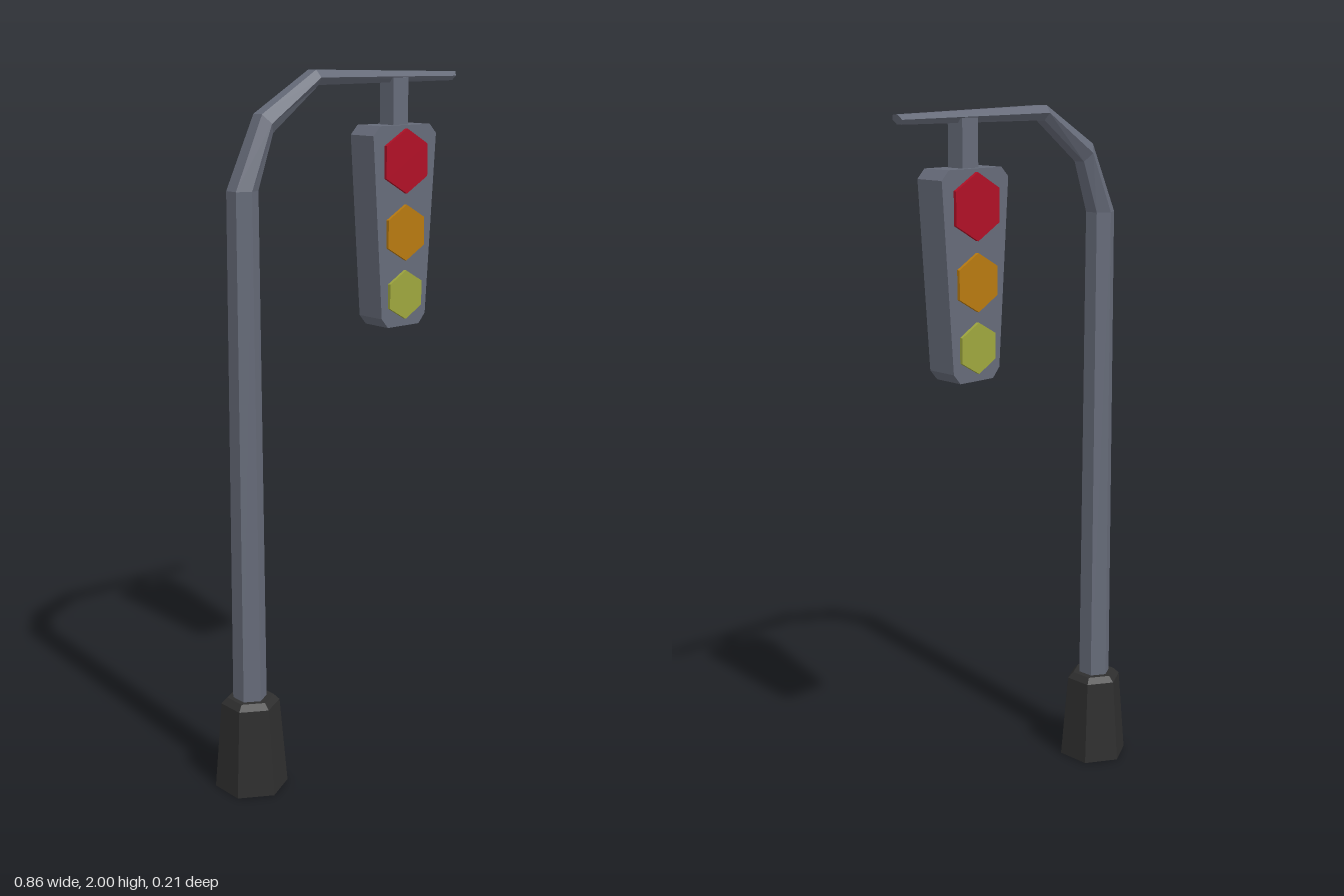
import * as THREE from 'three';

const paint = (name, color) => {
  const m = new THREE.MeshStandardMaterial({ color, flatShading: true });
  m.name = name;
  return m;
};

// Six-sided tube through stations given as [outerX, outerY, innerX, innerY, halfWidthZ]
function hexTube(stations) {
  const rings = stations.map(([ox, oy, ix, iy, w]) =>
    Array.from({ length: 6 }, (_, k) => {
      const a = Math.PI / 6 + (k * Math.PI) / 3;
      const t = (1 - Math.cos(a) / Math.cos(Math.PI / 6)) / 2; // 0 outer, 1 inner
      return [ox + (ix - ox) * t, oy + (iy - oy) * t, w * Math.sin(a)];
    }));
  const pos = [];
  const tri = (...pts) => pts.forEach((p) => pos.push(...p));
  for (let i = 0; i < rings.length - 1; i++) {
    for (let k = 0; k < 6; k++) {
      const n = (k + 1) % 6;
      const [a, b, c, d] = [rings[i][k], rings[i][n], rings[i + 1][n], rings[i + 1][k]];
      tri(a, b, c);
      tri(a, c, d);
    }
  }
  // end caps
  const first = rings[0], last = rings[rings.length - 1];
  for (let k = 1; k < 5; k++) {
    tri(last[0], last[k], last[k + 1]);
    tri(first[0], first[k + 1], first[k]);
  }
  const g = new THREE.BufferGeometry();
  g.setAttribute('position', new THREE.Float32BufferAttribute(pos, 3));
  g.computeVertexNormals();
  return g;
}

export function createModel() {
  const model = new THREE.Group();
  model.name = 'trafficLight';

  const grey = paint('slate grey', 0x666b79);
  const dark = paint('charcoal', 0x2e2e2e);
  const red = paint('red', 0xb01026);
  const amber = paint('amber', 0xb87a10);
  const green = paint('yellow green', 0x9ea63e);

  const add = (name, geometry, material, x = 0, y = 0, z = 0, parent = model) => {
    const mesh = new THREE.Mesh(geometry, material);
    mesh.name = name;
    mesh.position.set(x, y, z);
    parent.add(mesh);
    return mesh;
  };

  // Tapered six-sided foot with a bevelled top
  const footProfile = [[0, 0], [0.104, 0], [0.083, 0.253], [0.066, 0.27], [0, 0.27]]
    .map(([r, y]) => new THREE.Vector2(r, y));
  add('foot', new THREE.LatheGeometry(footProfile, 6), dark, -0.34);

  // Pole bending over into the tapering arm
  add('poleAndArm', hexTube([
    [-0.383, 0.25, -0.301, 0.25, 0.049],
    [-0.378, 1.695, -0.304, 1.695, 0.042],
    [-0.287, 1.89, -0.251, 1.841, 0.037],
    [-0.102, 2.0, -0.093, 1.96, 0.033],
    [0.425, 1.988, 0.412, 1.963, 0.019],
  ]), grey);

  // Signal head hanging from the arm
  const head = new THREE.Group();
  head.name = 'signalHead';
  head.position.x = 0.195;
  model.add(head);

  add('hanger', new THREE.BoxGeometry(0.056, 0.14, 0.056), grey, 0, 1.905, 0, head);

  // Housing: tapered outline with clipped corners
  const half = [[0.094, 1.846], [0.119, 1.82], [0.084, 1.307], [0.06, 1.279]];
  const outline = [
    ...half,
    ...half.slice().reverse().map(([x, y]) => [-x, y]),
  ].map(([x, y]) => new THREE.Vector2(x, y));
  const housing = new THREE.ExtrudeGeometry(new THREE.Shape(outline), { depth: 0.095, bevelEnabled: false });
  add('housing', housing, grey, 0, 0, -0.0475, head);

  // Six-sided lamps, front and back
  const lamps = [
    ['redLamp', red, 1.747, 0.09],
    ['amberLamp', amber, 1.547, 0.079],
    ['greenLamp', green, 1.37, 0.07],
  ];
  for (const [name, material, y, radius] of lamps) {
    for (const side of [1, -1]) {
      const disc = new THREE.CylinderGeometry(radius, radius, 0.0095, 6).rotateX(Math.PI / 2);
      add(name + (side > 0 ? 'Front' : 'Back'), disc, material, 0, y, side * 0.0522, head);
    }
  }

  return model;
}
